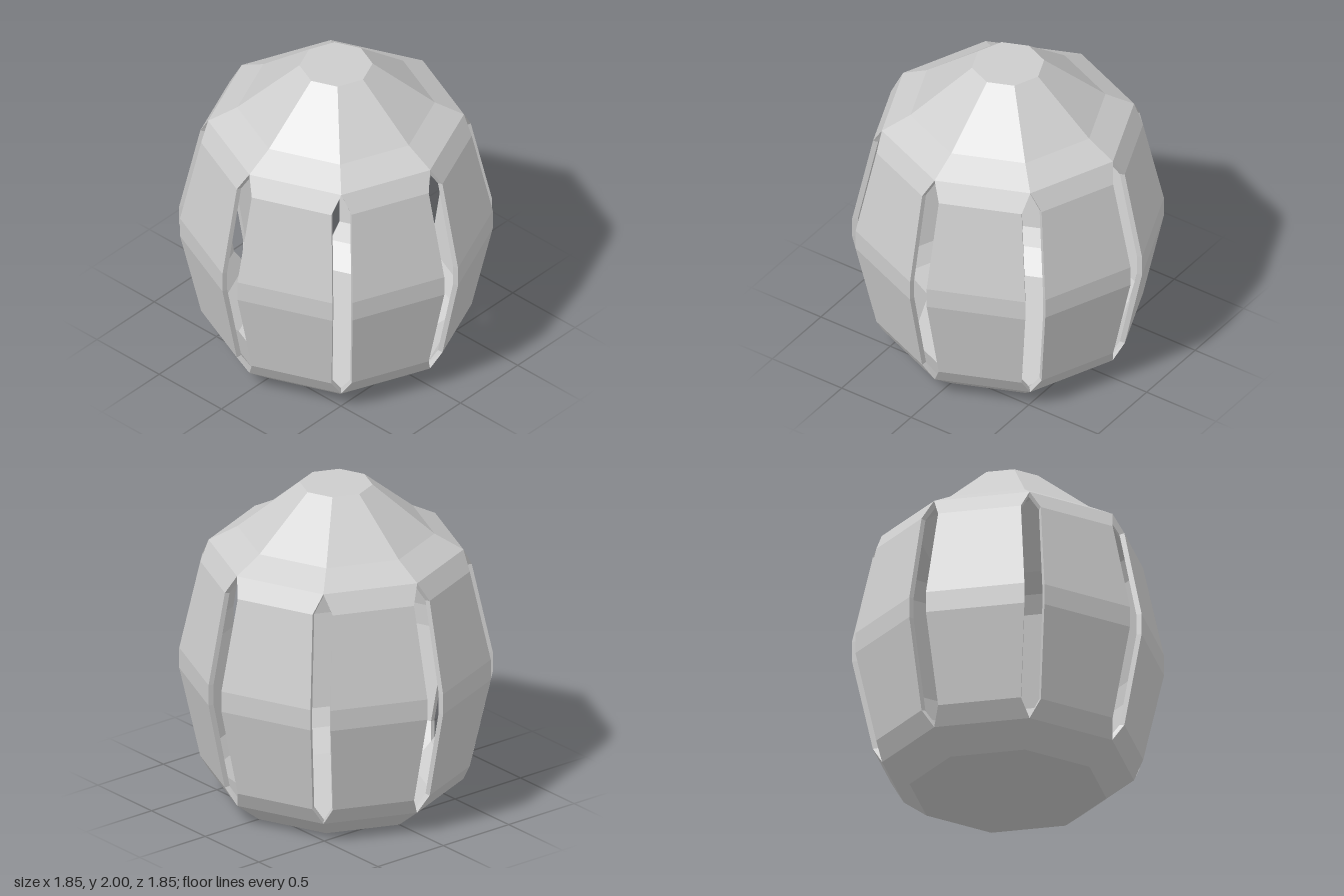
import * as THREE from 'three';

const SIDES = 8;
const HALF = Math.PI / SIDES;

// Rows from the floor centre up to the crown centre: [y, corner radius, half slit width]
const OUTER = [
  [0, 0, 0], [0, 0.59, 0], [0.13, 0.755, 0], [0.24, 0.825, 0.06], [0.8, 0.95, 0.06],
  [0.93, 0.95, 0.06], [1.49, 0.825, 0.06], [1.605, 0.757, 0], [1.7, 0.585, 0], [2, 0.217, 0], [2, 0, 0],
];
const INNER = [
  [0.035, 0, 0], [0.035, 0.575, 0], [0.145, 0.725, 0], [0.245, 0.792, 0.053], [0.8, 0.914, 0.053],
  [0.93, 0.914, 0.053], [1.485, 0.792, 0.053], [1.587, 0.725, 0], [1.665, 0.565, 0], [1.96, 0.195, 0], [1.96, 0, 0],
];

// Corner of one side of the octagon, with that side facing +z
function corner([y, r, slit], side) {
  const half = Math.max(0, r * Math.sin(HALF) - slit / Math.cos(HALF));
  return new THREE.Vector3(side * half, y, r * Math.cos(HALF));
}

// One side's double skin between two rows, with edge walls along the slits
function sideGeometry(from, to) {
  const pos = [];
  const tri = (a, b, c) => {
    const area = b.clone().sub(a).cross(c.clone().sub(a)).length();
    if (area > 1e-7) for (const p of [a, b, c]) pos.push(p.x, p.y, p.z);
  };
  const quad = (a, b, c, d) => { tri(a, b, c); tri(a, c, d); };
  for (let i = from; i < to; i++) {
    const [ol0, or0, ol1, or1] = [corner(OUTER[i], -1), corner(OUTER[i], 1), corner(OUTER[i + 1], -1), corner(OUTER[i + 1], 1)];
    const [il0, ir0, il1, ir1] = [corner(INNER[i], -1), corner(INNER[i], 1), corner(INNER[i + 1], -1), corner(INNER[i + 1], 1)];
    quad(ol0, or0, or1, ol1);
    quad(ir0, il0, il1, ir1);
    if (OUTER[i][2] + OUTER[i + 1][2] > 0) {
      quad(or0, ir0, ir1, or1);
      quad(il0, ol0, ol1, il1);
    }
  }
  const geometry = new THREE.BufferGeometry();
  geometry.setAttribute('position', new THREE.Float32BufferAttribute(pos, 3));
  geometry.computeVertexNormals();
  return geometry;
}

export function createModel() {
  const model = new THREE.Group();
  model.name = 'slottedLantern';
  const grey = new THREE.MeshStandardMaterial({ color: 0xcccccc });
  grey.name = 'lightGrey';

  // Base, slotted wall and sloping roof, each repeated around the octagon
  const parts = [['base', 0, 2], ['wallPanel', 2, 7], ['roof', 7, 10]];
  for (const [name, from, to] of parts) {
    const group = new THREE.Group();
    group.name = name;
    const geometry = sideGeometry(from, to);
    for (let k = 0; k < SIDES; k++) {
      const mesh = new THREE.Mesh(geometry, grey);
      mesh.name = `${name}Side${k + 1}`;
      mesh.rotation.y = HALF * (2 * k + 1);
      group.add(mesh);
    }
    model.add(group);
  }
  return model;
}
